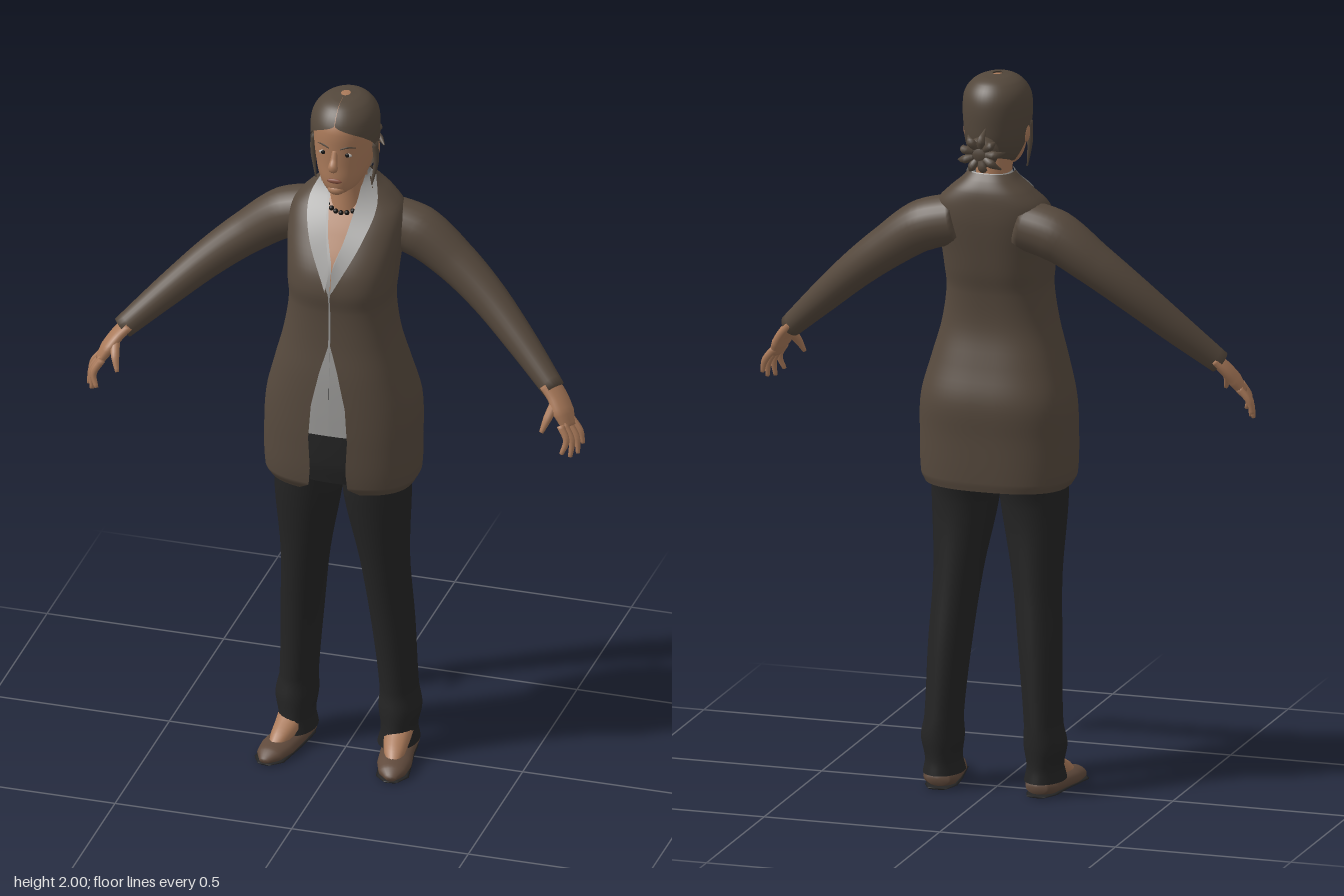
import * as THREE from 'three';

const mat = (name, color, side = THREE.FrontSide) => {
  const m = new THREE.MeshStandardMaterial({ color, side });
  m.name = name;
  return m;
};
const V = (x, y, z) => new THREE.Vector3(x, y, z);

// Skin over a list of rings; open rings leave a slit, caps close the ends
function surface(name, rings, material, closed = true, caps = false) {
  const n = rings[0].length, pos = [], idx = [];
  rings.forEach(r => r.forEach(p => pos.push(p.x, p.y, p.z)));
  for (let i = 0; i < rings.length - 1; i++)
    for (let j = 0; j < (closed ? n : n - 1); j++) {
      const k = (j + 1) % n, a = i * n + j, b = i * n + k;
      idx.push(a, b, a + n, b, b + n, a + n);
    }
  if (caps) [0, rings.length - 1].forEach(i => {
    const c = V(0, 0, 0);
    rings[i].forEach(p => c.addScaledVector(p, 1 / n));
    const m = pos.push(c.x, c.y, c.z) / 3 - 1;
    for (let j = 0; j < n; j++) {
      const a = i * n + j, b = i * n + (j + 1) % n;
      if (i) idx.push(a, b, m); else idx.push(b, a, m);
    }
  });
  const g = new THREE.BufferGeometry();
  g.setAttribute('position', new THREE.Float32BufferAttribute(pos, 3));
  g.setIndex(idx);
  g.computeVertexNormals();
  const mesh = new THREE.Mesh(g, material);
  mesh.name = name;
  return mesh;
}

// Smooth interpolation of rows [y, x0, x1, zBack, zFront]
function rowAt(rows, y) {
  let i = 0;
  while (i < rows.length - 2 && y > rows[i + 1][0]) i++;
  const a = rows[i], b = rows[i + 1], p = rows[Math.max(i - 1, 0)], q = rows[Math.min(i + 2, rows.length - 1)];
  const h = b[0] - a[0], t = (y - a[0]) / h, t2 = t * t, t3 = t2 * t;
  return a.map((v, k) => {
    const m0 = (b[k] - p[k]) / (b[0] - p[0]) * h, m1 = (q[k] - v) / (q[0] - a[0]) * h;
    return (2 * t3 - 3 * t2 + 1) * v + (t3 - 2 * t2 + t) * m0 + (3 * t2 - 2 * t3) * b[k] + (t3 - t2) * m1;
  });
}
// Piecewise linear lookup
function lerpTable(table, y) {
  if (y <= table[0][0]) return table[0][1];
  for (let i = 1; i < table.length; i++)
    if (y <= table[i][0]) {
      const [ya, va] = table[i - 1], [yb, vb] = table[i];
      return va + (vb - va) * (y - ya) / (yb - ya);
    }
  return table[table.length - 1][1];
}
// Upright body from rows; gap is the front slit as half width or as an angle
function loft(name, rows, material, { e = 1, grow = 0, gap, angle, steps = 5, seg = 48, caps = false } = {}) {
  const rings = [], open = gap || angle;
  const pw = v => Math.sign(v) * Math.abs(v) ** e;
  for (let i = 0; i < rows.length - 1; i++)
    for (let s = 0; s < steps + (i === rows.length - 2 ? 1 : 0); s++) {
      const y = rows[i][0] + (rows[i + 1][0] - rows[i][0]) * s / steps;
      const [, x0, x1, zb, zf] = rowAt(rows, y);
      const rx = (x1 - x0) / 2 + grow, rz = (zf - zb) / 2 + grow, ring = [];
      let a0 = 0;
      if (angle) a0 = lerpTable(angle, y);
      if (gap) a0 = Math.asin(Math.min(0.97, lerpTable(gap, y) / rx) ** (1 / e));
      for (let j = 0; j < (open ? seg + 1 : seg); j++) {
        const a = a0 + (2 * Math.PI - 2 * a0) * j / seg;
        ring.push(V((x0 + x1) / 2 + rx * pw(Math.sin(a)), y, (zb + zf) / 2 + rz * pw(Math.cos(a))));
      }
      rings.push(ring);
    }
  return surface(name, rings, material, !open, caps);
}
// Tapered limb along a path; wide stretches it along the ref direction
function sweep(name, pts, radii, material, { wide = 1, ref = V(0, 0, 1), seg = 14, steps = 5 } = {}) {
  const curve = new THREE.CatmullRomCurve3(pts.map(p => V(...p))), rings = [];
  const n = (pts.length - 1) * steps, table = radii.map((r, i) => [i / (radii.length - 1), r]);
  for (let i = 0; i <= n; i++) {
    const t = i / n, c = curve.getPoint(t), T = curve.getTangent(t), r = lerpTable(table, t);
    const w = ref.clone().addScaledVector(T, -ref.dot(T)).normalize(), s = T.clone().cross(w);
    rings.push(Array.from({ length: seg }, (_, j) => {
      const a = 2 * Math.PI * j / seg;
      return c.clone().addScaledVector(w, Math.cos(a) * r * wide).addScaledVector(s, Math.sin(a) * r);
    }));
  }
  return surface(name, rings, material, true, true);
}
function ball(name, c, r, material) {
  const g = new THREE.SphereGeometry(1, 16, 10).scale(...r).translate(...c);
  const m = new THREE.Mesh(g, material);
  m.name = name;
  return m;
}
function mirrored(mesh) {
  const g = mesh.geometry.clone().scale(-1, 1, 1), ix = g.index.array;
  for (let i = 0; i < ix.length; i += 3) [ix[i], ix[i + 1]] = [ix[i + 1], ix[i]];
  const m = new THREE.Mesh(g, mesh.material);
  m.name = mesh.name.replace('left', 'right');
  return m;
}
const even = rows => rows.map(([y, rx, zb, zf]) => [y, -rx, rx, zb, zf]);

export function createModel() {
  const root = new THREE.Group();
  root.name = 'woman';
  const D = THREE.DoubleSide;
  const coat = mat('brown coat', 0x56493d, D), pants = mat('black cloth', 0x242424, D);
  const skin = mat('skin', 0xaa7a5a), shirt = mat('grey shirt', 0x9b9a98, D);
  const hair = mat('brown hair', 0x53473b, D), shoe = mat('brown shoe', 0x604a3c);
  const black = mat('black beads', 0x141312), lip = mat('lips', 0x85503f), white = mat('eye white', 0xb8b4ae);
  const add = (...m) => root.add(...m);
  const pair = (...ms) => ms.forEach(m => root.add(m, mirrored(m)));

  // Coat, shirt and chest share one torso shape
  const torso = even([
    [0.855, 0.2, -0.125, 0.155], [0.88, 0.212, -0.13, 0.168], [1.0, 0.215, -0.135, 0.172],
    [1.1, 0.21, -0.14, 0.17], [1.2, 0.185, -0.115, 0.165], [1.3, 0.158, -0.092, 0.155],
    [1.4, 0.143, -0.095, 0.152], [1.46, 0.147, -0.108, 0.158], [1.52, 0.152, -0.118, 0.143],
    [1.6, 0.16, -0.13, 0.095], [1.65, 0.152, -0.132, 0.06], [1.69, 0.115, -0.128, 0.03],
    [1.72, 0.08, -0.115, 0.015], [1.74, 0.062, -0.1, 0.01]]);
  add(loft('coat', torso, coat, { e: 0.78, seg: 64, gap: [[0.855, 0.085], [0.875, 0.055], [0.93, 0.05],
    [1.02, 0.055], [1.12, 0.048], [1.22, 0.026], [1.3, 0.003], [1.455, 0.002], [1.6, 0.06], [1.69, 0.085], [1.74, 0.06]] }));
  add(loft('shirt', [rowAt(torso, 1.03), ...torso.slice(3)], shirt, { e: 0.78, grow: -0.009, seg: 64,
    gap: [[1.03, 0], [1.53, 0.001], [1.6, 0.025], [1.66, 0.036], [1.74, 0.045]] }));
  add(loft('chest', torso.slice(7, 13), skin, { e: 0.78, grow: -0.02 }));

  // Shirt collar laid over the coat neckline
  const line = pts => new THREE.CatmullRomCurve3(pts.map(p => V(...p))).getPoints(16);
  pair(surface('left collar', [
    line([[0.05, 1.748, -0.015], [0.042, 1.69, 0.036], [0.03, 1.62, 0.087], [0.003, 1.52, 0.15]]),
    line([[0.072, 1.738, -0.045], [0.096, 1.68, 0.027], [0.075, 1.6, 0.1], [0.01, 1.47, 0.167]])], shirt, false));

  // Sleeves
  pair(sweep('left sleeve', [[0.09, 1.6, -0.06], [0.188, 1.574, -0.063], [0.29, 1.505, -0.055], [0.39, 1.425, -0.03],
    [0.5, 1.325, 0.015], [0.61, 1.222, 0.07]], [0.07, 0.071, 0.06, 0.052, 0.043, 0.032], coat, { seg: 24, steps: 7 }));

  // Hands
  const across = V(-0.25, 0, 1).normalize();
  pair(sweep('left palm', [[0.595, 1.235, 0.065], [0.622, 1.205, 0.077], [0.645, 1.17, 0.095], [0.664, 1.135, 0.107]],
    [0.018, 0.018, 0.019, 0.013], skin, { wide: 2.1, ref: across }));
  [[0.138, 0.658, 0.158, 1.075], [0.12, 0.677, 0.138, 1.06], [0.1, 0.692, 0.115, 1.062], [0.08, 0.698, 0.088, 1.08]]
    .forEach(([z, x, tz, ty]) => pair(sweep('left finger',
      [[0.655 + (0.11 - z) * 0.2, 1.15, z], [(0.66 + x) / 2 + 0.01, (1.15 + ty) / 2, (z + tz) / 2], [x, ty, tz]],
      [0.0105, 0.0095, 0.006], skin, { seg: 8 })));
  pair(sweep('left thumb', [[0.622, 1.195, 0.1], [0.612, 1.165, 0.135], [0.6, 1.13, 0.155]],
    [0.014, 0.012, 0.006], skin, { seg: 8 }));

  // Trousers
  add(loft('hips', even([[0.87, 0.15, -0.09, 0.13], [0.93, 0.185, -0.11, 0.14], [1.06, 0.18, -0.11, 0.14]]), pants, { e: 0.85 }));
  pair(loft('left trouser leg', [
    [0.04, 0.088, 0.2, -0.1, 0.06], [0.08, 0.096, 0.193, -0.096, 0.05], [0.14, 0.088, 0.204, -0.1, 0.046],
    [0.2, 0.09, 0.193, -0.1, 0.04], [0.4, 0.07, 0.187, -0.09, 0.055], [0.6, 0.045, 0.179, -0.075, 0.086],
    [0.8, 0.006, 0.19, -0.07, 0.12], [0.92, -0.004, 0.19, -0.1, 0.135]], pants, { seg: 32 }));

  // Feet and shoes
  pair(sweep('left foot', [[0.146, 0.1, -0.04], [0.152, 0.068, 0.02], [0.162, 0.045, 0.08], [0.17, 0.025, 0.12]],
    [0.035, 0.03, 0.022, 0.012], skin, { wide: 1.3, ref: V(1, 0, 0) }));
  const upper = sweep('left shoe', [[0.14, 0.03, -0.09], [0.144, 0.028, -0.05], [0.152, 0.022, 0.02],
    [0.165, 0.02, 0.09], [0.174, 0.018, 0.14], [0.18, 0.014, 0.172]], [0.018, 0.029, 0.027, 0.028, 0.022, 0.008],
    shoe, { wide: 1.7, ref: V(1, 0, 0), seg: 20 });
  const p = upper.geometry.attributes.position;
  for (let i = 0; i < p.count; i++) p.setY(i, Math.max(0.006, p.getY(i)));
  upper.geometry.computeVertexNormals();
  pair(upper, sweep('left sole', [[0.14, 0.005, -0.095], [0.144, 0.005, -0.05], [0.152, 0.005, 0.02],
    [0.165, 0.005, 0.09], [0.174, 0.005, 0.14], [0.18, 0.005, 0.174]], [0.003, 0.005, 0.005, 0.005, 0.005, 0.002],
    pants, { wide: 9, ref: V(1, 0, 0), seg: 12 }));

  // Neck, head and hair
  add(loft('neck', even([[1.6, 0.07, -0.09, 0.05], [1.66, 0.055, -0.09, 0.038], [1.72, 0.049, -0.085, 0.03],
    [1.8, 0.052, -0.08, 0.03]]), skin));
  const head = even([[1.735, 0.024, 0.03, 0.088], [1.75, 0.046, -0.02, 0.102], [1.78, 0.066, -0.07, 0.107],
    [1.82, 0.077, -0.09, 0.106], [1.87, 0.083, -0.097, 0.107], [1.92, 0.084, -0.098, 0.106],
    [1.95, 0.078, -0.09, 0.094], [1.975, 0.058, -0.07, 0.072], [1.988, 0.032, -0.043, 0.045], [1.993, 0.004, -0.006, 0.008]]);
  add(loft('head', head, skin, { caps: true }));
  const scalp = [rowAt(head, 1.765), ...head.slice(2)].map(r => [r[0] + Math.max(0, r[0] - 1.9) * 0.07, ...r.slice(1)]);
  add(loft('hair', scalp, hair, { grow: 0.009, angle: [[1.76, 2.2], [1.79, 1.95], [1.82, 1.75], [1.86, 1.45],
    [1.89, 1.15], [1.915, 0.8], [1.93, 0.45], [1.945, 0.01]] }));
  pair(sweep('left hair strand', [[0.086, 1.87, 0.015], [0.089, 1.81, 0.012], [0.079, 1.74, 0.02]],
    [0.01, 0.008, 0.002], hair, { seg: 8 }));

  // Bun with loose tufts
  add(ball('bun', [0, 1.81, -0.128], [0.046, 0.042, 0.036], hair));
  for (let i = 0; i < 9; i++) {
    const a = i * Math.PI * 2 / 9 + 0.3, c = Math.cos(a), s = Math.sin(a), l = 0.056 + 0.009 * (i % 3);
    add(sweep('bun tuft', [[c * 0.02, 1.81 + s * 0.02, -0.15], [c * 0.045, 1.81 + s * 0.04, -0.158],
      [c * l, 1.81 + s * l * 0.9, -0.13 - 0.015 * (i % 2)]], [0.012, 0.012, 0.002], hair, { seg: 7 }));
  }

  // Face
  const faceZ = (x, y) => {
    const [, , rx, zb, zf] = rowAt(head, y);
    return (zb + zf) / 2 + (zf - zb) / 2 * Math.sqrt(1 - (x / rx) ** 2);
  };
  add(sweep('nose', [[0, 1.872, 0.102], [0, 1.848, 0.111], [0, 1.828, 0.12], [0, 1.816, 0.108]],
    [0.007, 0.009, 0.013, 0.008], skin, { ref: V(1, 0, 0), wide: 1.1 }));
  add(ball('chin', [0, 1.75, 0.09], [0.024, 0.016, 0.018], skin));
  add(ball('lips', [0, 1.782, faceZ(0, 1.782)], [0.021, 0.007, 0.005], lip));
  pair(ball('left eye', [0.034, 1.862, faceZ(0.034, 1.862)], [0.013, 0.006, 0.003], white),
    ball('left iris', [0.034, 1.862, faceZ(0.034, 1.862) + 0.002], [0.006, 0.006, 0.003], black),
    sweep('left eyebrow', [0.016, 0.035, 0.054].map((x, i) => [x, 1.88 + (i === 1 ? 0.005 : 0), faceZ(x, 1.882)]),
      [0.002, 0.003, 0.001], hair, { seg: 6 }),
    ball('left ear', [0.084, 1.842, -0.005], [0.01, 0.028, 0.016], skin));

  // Bead necklace
  for (let i = 0; i < 22; i++) {
    const a = i * Math.PI * 2 / 22;
    add(ball('necklace bead', [0.056 * Math.sin(a), 1.682 - 0.027 * Math.cos(a), -0.024 + 0.07 * Math.cos(a)],
      [0.007, 0.007, 0.007], black));
  }
  return root;
}
